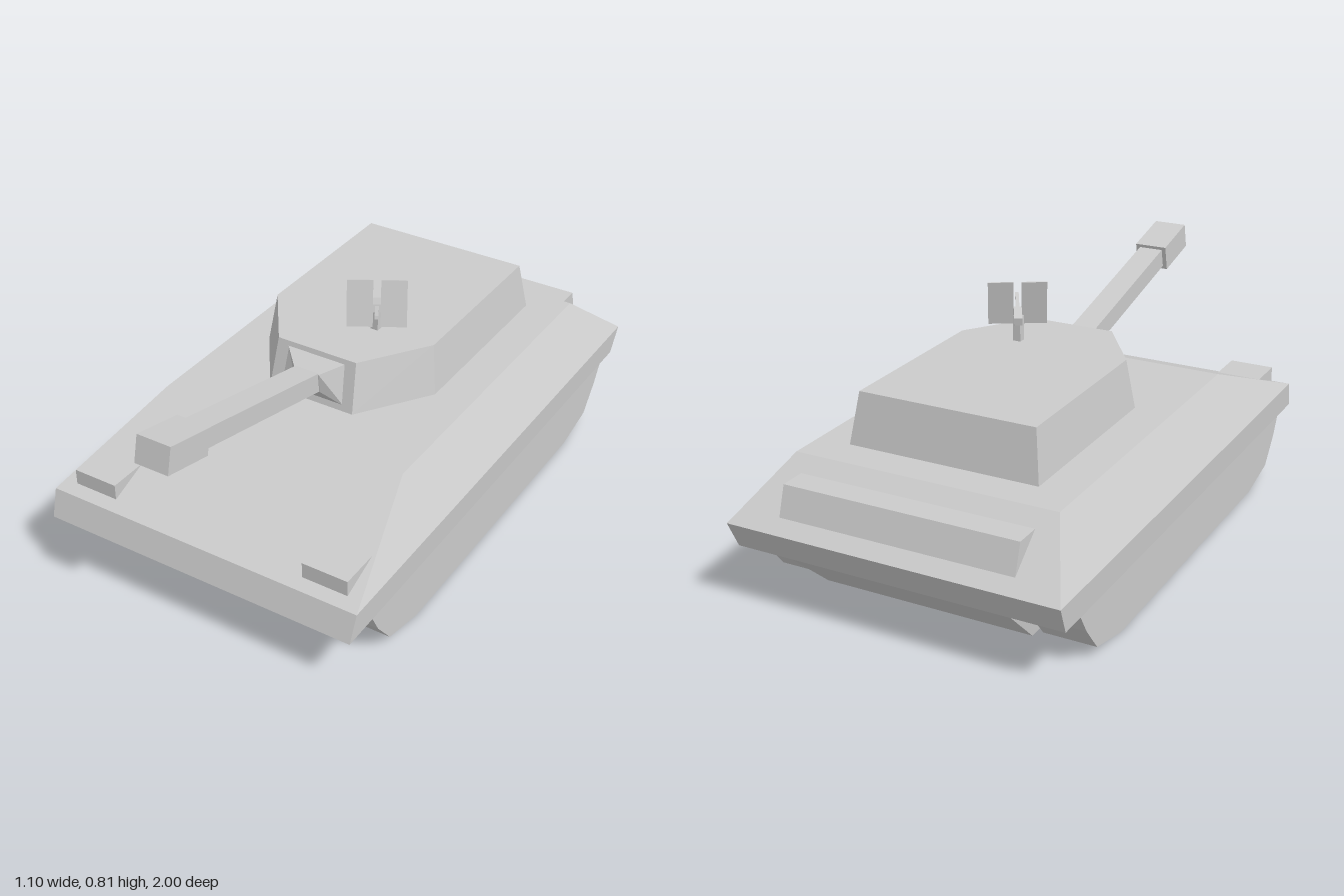
import * as THREE from 'three';

const material = new THREE.MeshStandardMaterial({ color: 0xcccccc, flatShading: true });

function add(parent, name, geometry, x = 0, y = 0, z = 0) {
  const mesh = new THREE.Mesh(geometry, material);
  mesh.name = name;
  mesh.position.set(x, y, z);
  parent.add(mesh);
  return mesh;
}

// Closed solid through convex rings, each counterclockwise seen from the last ring's side
function loft(rings) {
  const pos = [];
  const n = rings[0].length;
  const tri = (a, b, c) => pos.push(...a, ...b, ...c);
  for (let r = 0; r + 1 < rings.length; r++) {
    const lo = rings[r], hi = rings[r + 1];
    for (let i = 0; i < n; i++) {
      const j = (i + 1) % n;
      tri(lo[i], lo[j], hi[j]);
      tri(lo[i], hi[j], hi[i]);
    }
  }
  const first = rings[0], last = rings[rings.length - 1];
  for (let i = 1; i + 1 < n; i++) {
    tri(first[0], first[i + 1], first[i]);
    tri(last[0], last[i], last[i + 1]);
  }
  const g = new THREE.BufferGeometry();
  g.setAttribute('position', new THREE.Float32BufferAttribute(pos, 3));
  g.computeVertexNormals();
  return g;
}

// Horizontal rectangle: half width, height, front z, back z
const deck = (x, y, front, back) => [[x, y, front], [x, y, back], [-x, y, back], [-x, y, front]];

// Side profile of [z, y] points extruded across the width
function sideExtrude(points, width) {
  const shape = new THREE.Shape(points.map(([z, y]) => new THREE.Vector2(z, y)));
  const g = new THREE.ExtrudeGeometry(shape, { depth: width, bevelEnabled: false });
  return g.translate(0, 0, -width / 2).rotateY(-Math.PI / 2);
}

export function createModel() {
  const tank = new THREE.Group();
  tank.name = 'tank';

  // Hull
  add(tank, 'upperHull', loft([
    deck(0.545, 0.19, 0.85, -0.96),
    deck(0.55, 0.28, 0.82, -1),
    deck(0.44, 0.45, 0.38, -0.79),
  ]));
  add(tank, 'belly', loft([
    deck(0.353, 0.037, 0.57, -0.79),
    deck(0.368, 0.192, 0.82, -0.957),
  ]));
  add(tank, 'rearStowageBox', sideExtrude([
    [-0.957, 0.312], [-0.815, 0.41], [-0.925, 0.41],
  ], 0.78));

  // Tracks and headlights
  const trackProfile = [
    [0.725, 0.192], [0.69, 0.125], [0.62, 0.037], [0.46, 0],
    [-0.6, 0], [-0.76, 0.037], [-0.83, 0.125], [-0.87, 0.192],
  ];
  for (const [side, s] of [['left', 1], ['right', -1]]) {
    add(tank, side + 'Track', sideExtrude(trackProfile, 0.172), s * 0.458);
    add(tank, side + 'Headlight', new THREE.BoxGeometry(0.154, 0.057, 0.14), s * 0.418, 0.319, 0.71);
  }

  // Turret on an eight-sided ring
  const ring = add(tank, 'turretRing',
    new THREE.CylinderGeometry(0.238, 0.238, 0.02, 8).rotateY(Math.PI / 8), 0, 0.45, -0.235);
  ring.scale.z = 1.57;
  const turretRing = (y, nose, noseZ, wide, wideZ, backZ) => [
    [nose, y, noseZ], [wide, y, wideZ], [wide, y, backZ],
    [-wide, y, backZ], [-wide, y, wideZ], [-nose, y, noseZ],
  ];
  add(tank, 'turret', loft([
    turretRing(0.456, 0.155, 0.207, 0.32, -0.03, -0.685),
    turretRing(0.622, 0.144, 0.166, 0.297, -0.053, -0.655),
  ]));

  // Gun mount and main gun
  const mountRing = (lowX, lowY, lowZ, topX, topY, topZ) => [
    [-lowX, lowY, lowZ], [lowX, lowY, lowZ], [topX, topY, topZ], [-topX, topY, topZ],
  ];
  add(tank, 'gunMount', loft([
    mountRing(0.118, 0.473, 0.2, 0.108, 0.607, 0.167),
    mountRing(0.045, 0.511, 0.222, 0.045, 0.578, 0.228),
  ]));
  const gun = new THREE.Group();
  gun.name = 'mainGun';
  gun.position.set(0, 0.545, 0.218);
  gun.rotation.x = -0.232;
  tank.add(gun);
  add(gun, 'barrel', new THREE.BoxGeometry(0.086, 0.066, 0.63), 0, 0, 0.305);
  add(gun, 'muzzle', new THREE.BoxGeometry(0.116, 0.088, 0.183), 0, 0, 0.7);

  // Roof machine gun with a split shield
  add(tank, 'gunPost', new THREE.BoxGeometry(0.026, 0.09, 0.026), 0.089, 0.66, -0.047);
  const roofGun = new THREE.Group();
  roofGun.name = 'roofGun';
  roofGun.position.set(0.11, 0.735, -0.014);
  roofGun.rotation.y = Math.PI / 6;
  tank.add(roofGun);
  for (const [side, s] of [['left', 1], ['right', -1]]) {
    const plate = add(roofGun, side + 'ShieldPlate', new THREE.BoxGeometry(0.083, 0.154, 0.004), s * 0.054);
    plate.rotation.x = -0.22;
  }
  const receiver = add(roofGun, 'receiver', new THREE.BoxGeometry(0.026, 0.026, 0.075), 0, -0.03, -0.042);
  const barrel = add(roofGun, 'roofGunBarrel', new THREE.BoxGeometry(0.012, 0.012, 0.1), 0, -0.009, 0.04);
  receiver.rotation.x = barrel.rotation.x = -0.22;

  return tank;
}
